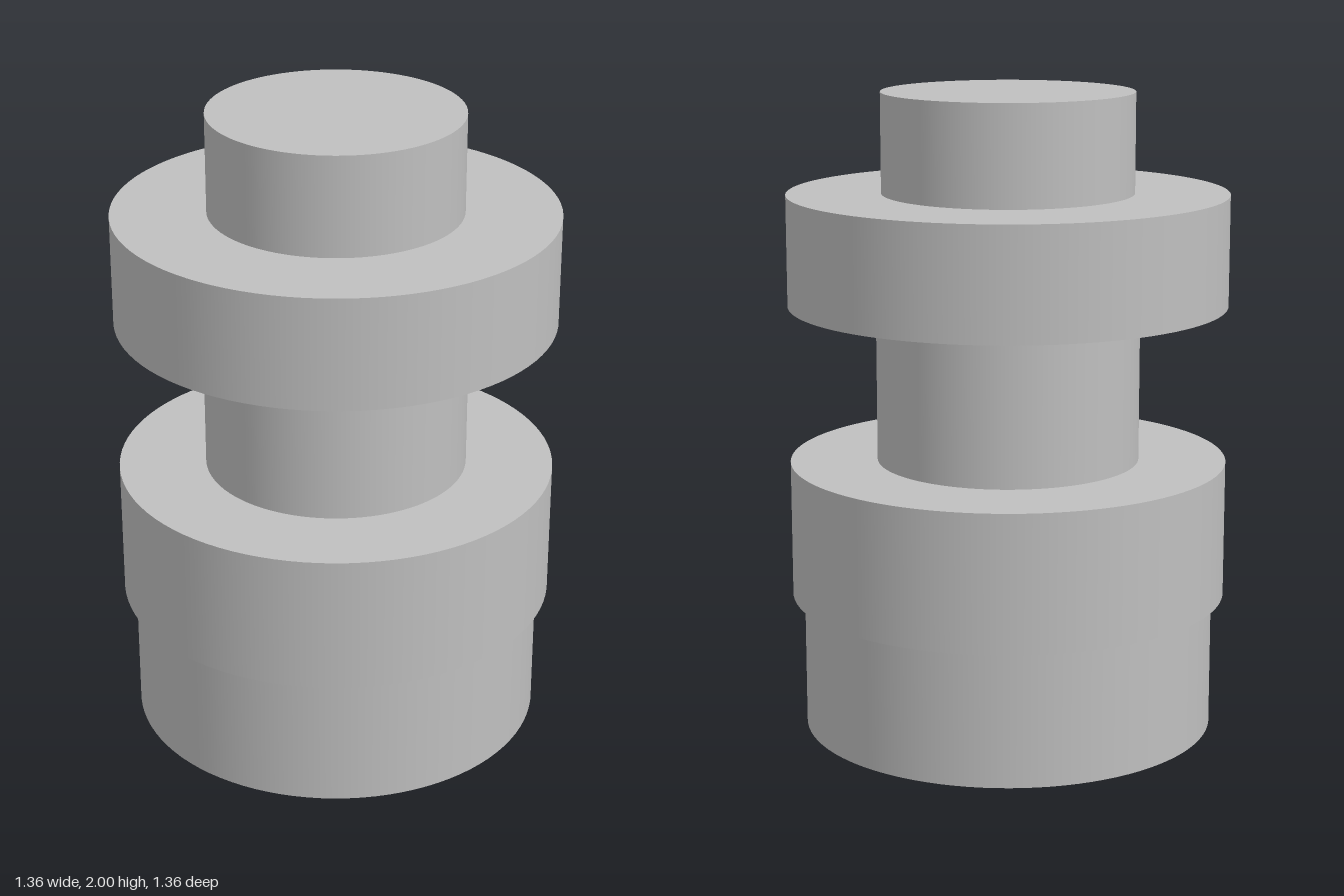
import * as THREE from 'three';
import { mergeGeometries } from 'three/addons/utils/BufferGeometryUtils.js';

const SEGMENTS = 96;

// Revolves each profile edge separately so corners stay sharp and the walls smooth
function turned(profile) {
  const edges = [];
  for (let i = 0; i < profile.length - 1; i++) {
    const ends = [profile[i], profile[i + 1]].map(([r, y]) => new THREE.Vector2(r, y));
    edges.push(new THREE.LatheGeometry(ends, SEGMENTS));
  }
  return mergeGeometries(edges);
}

export function createModel() {
  const group = new THREE.Group();
  group.name = 'turnedSpool';

  const steel = new THREE.MeshStandardMaterial({ color: 0xbfbfbf });
  steel.name = 'grey steel';

  // Radii and heights
  const bore = 0.41, base = 0.645, flange = 0.682, neck = 0.41, stub = 0.39;
  const yBore = 0.375, yBase = 0.425, yLower = 0.853, yNeck = 1.345, yUpper = 1.69, yTop = 2;

  // Profiles run from the bore, round the outside, up to the top; [radius, height]
  const parts = {
    blindBore: [[0, yBore], [bore, yBore], [bore, 0]],
    base: [[bore, 0], [base, 0], [base, yBase]],
    lowerFlange: [[base, yBase], [flange, yBase], [flange, yLower], [neck, yLower]],
    neck: [[neck, yLower], [neck, yNeck]],
    upperFlange: [[neck, yNeck], [flange, yNeck], [flange, yUpper], [stub, yUpper]],
    topStub: [[stub, yUpper], [stub, yTop], [0, yTop]],
  };

  for (const [name, profile] of Object.entries(parts)) {
    const mesh = new THREE.Mesh(turned(profile), steel);
    mesh.name = name;
    group.add(mesh);
  }
  return group;
}
